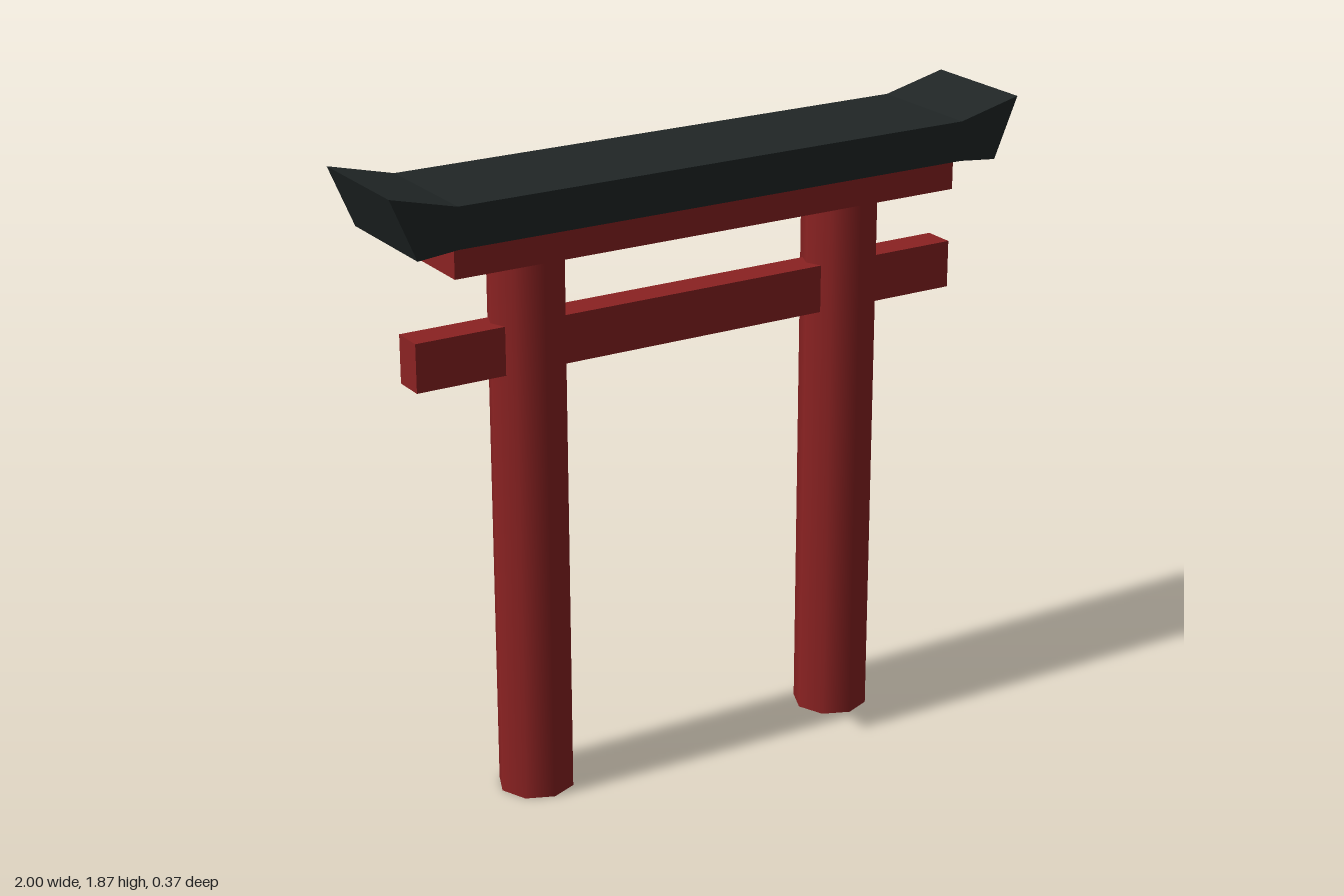
import * as THREE from 'three';

export function createModel() {
  const gate = new THREE.Group();
  gate.name = 'gate';
  const red = new THREE.MeshStandardMaterial({ color: 0x8b2222 });
  const black = new THREE.MeshStandardMaterial({ color: 0x202626 });

  const add = (name, geometry, material, x, y, z) => {
    const mesh = new THREE.Mesh(geometry, material);
    mesh.name = name;
    mesh.position.set(x, y, z);
    gate.add(mesh);
  };

  // Eight-sided, smooth-shaded pillars
  const pillarHeight = 1.615;
  const pillar = new THREE.CylinderGeometry(0.111, 0.111, pillarHeight, 8);
  for (const [name, side] of [['leftPillar', 1], ['rightPillar', -1]]) {
    add(name, pillar, red, side * 0.513, pillarHeight / 2, 0);
  }

  // Tie beam running through the pillars, and the lintel on top of them
  add('tieBeam', new THREE.BoxGeometry(1.748, 0.14, 0.095), red, 0, 1.35, 0);
  add('lintel', new THREE.BoxGeometry(1.606, 0.09, 0.3), red, 0, 1.66, 0);

  // Roof beam with upswept ends: right half of the outline, mirrored
  const half = [[0.805, 1.706], [0.925, 1.694], [1, 1.87], [0.805, 1.822]];
  const mirrored = half.map(([x, y]) => [-x, y]).reverse();
  const outline = new THREE.Shape([...half, ...mirrored].map(([x, y]) => new THREE.Vector2(x, y)));
  const depth = 0.368;
  const roof = new THREE.ExtrudeGeometry(outline, { depth, bevelEnabled: false });
  add('roofBeam', roof, black, 0, 0, -depth / 2);

  return gate;
}
